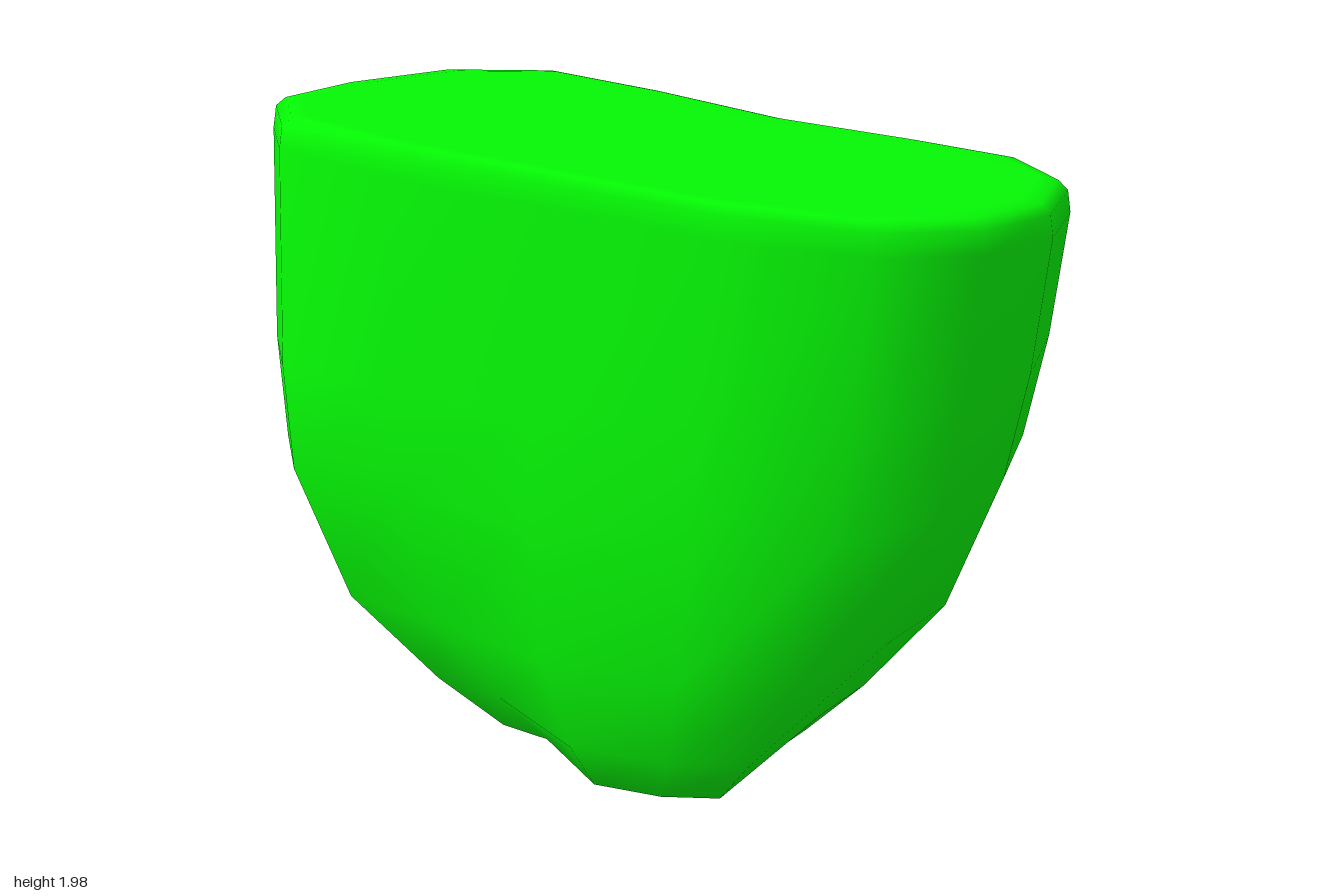
import * as THREE from 'three';

// Plan outline of the block, clockwise from the back (x, z)
const OUTLINE = [
  [0, -1], [0.36, -0.91], [0.49, -0.55], [0.58, -0.1], [0.79, 0.27], [0.91, 0.54],
  [0.78, 0.79], [0.46, 0.95], [0.1, 0.99], [-0.21, 0.89], [-0.46, 0.61], [-0.66, 0.2],
  [-0.84, -0.18], [-0.92, -0.53], [-0.78, -0.76], [-0.45, -0.9],
];

// Rounded body below the rim: height, scale, centre x, centre z, bulge of the long flat side
const BODY = [
  [0.15, 0.44, -0.07, 0.03, 0.11],
  [0.32, 0.61, -0.06, 0.01, 0.11],
  [0.6, 0.83, -0.045, -0.015, 0.07],
  [1.0, 0.96, -0.035, -0.02, 0.02],
  [1.3, 0.99, -0.015, -0.01, 0],
];

// Rim and top: depth below the sloping top plane, scale
const RIM = [[0.09, 0.99], [0.03, 0.98], [0.005, 0.955], [0, 0.91], [0, 0.5]];

const topHeight = (x, z) => 1.868 - 0.0935 * x - 0.061 * z;

function loft(rings, bottom, top) {
  const n = OUTLINE.length;
  const positions = [...rings.flat(2), ...bottom, ...top];
  const bottomId = rings.length * n, topId = bottomId + 1;
  const last = (rings.length - 1) * n;
  const index = [];
  for (let j = 0; j < n; j++) {
    const k = (j + 1) % n;
    for (let i = 0; i < rings.length - 1; i++) {
      const a = i * n + j, b = i * n + k;
      index.push(a, a + n, b, b, a + n, b + n);
    }
    index.push(bottomId, j, k, topId, last + k, last + j);
  }
  const geometry = new THREE.BufferGeometry();
  geometry.setAttribute('position', new THREE.Float32BufferAttribute(positions, 3));
  geometry.setIndex(index);
  geometry.computeVertexNormals();
  return geometry;
}

export function createModel() {
  const group = new THREE.Group();
  group.name = 'roundedBlock';

  // The flat side (outline points 9 to 11) is fuller and hangs lower near the base
  const rings = BODY.map(([y, s, cx, cz, bulge]) =>
    OUTLINE.map(([x, z], j) => {
      const b = j >= 9 && j <= 11 ? bulge : 0;
      return [cx + x * s - 0.88 * b, y - 0.45 * b, cz + z * s + 0.47 * b];
    }));
  for (const [drop, s] of RIM) {
    rings.push(OUTLINE.map(([x, z]) => {
      const px = 0.01 + x * s, pz = 0.012 + z * s;
      return [px, topHeight(px, pz) - drop, pz];
    }));
  }

  // Single smooth body with a sloping flat top and a bluntly pointed base
  const body = new THREE.Mesh(
    loft(rings, [-0.11, 0, 0.05], [0.01, topHeight(0.01, 0.012), 0.012]),
    new THREE.MeshStandardMaterial({ color: 0x05fc05 }),
  );
  body.name = 'body';
  group.add(body);
  return group;
}
